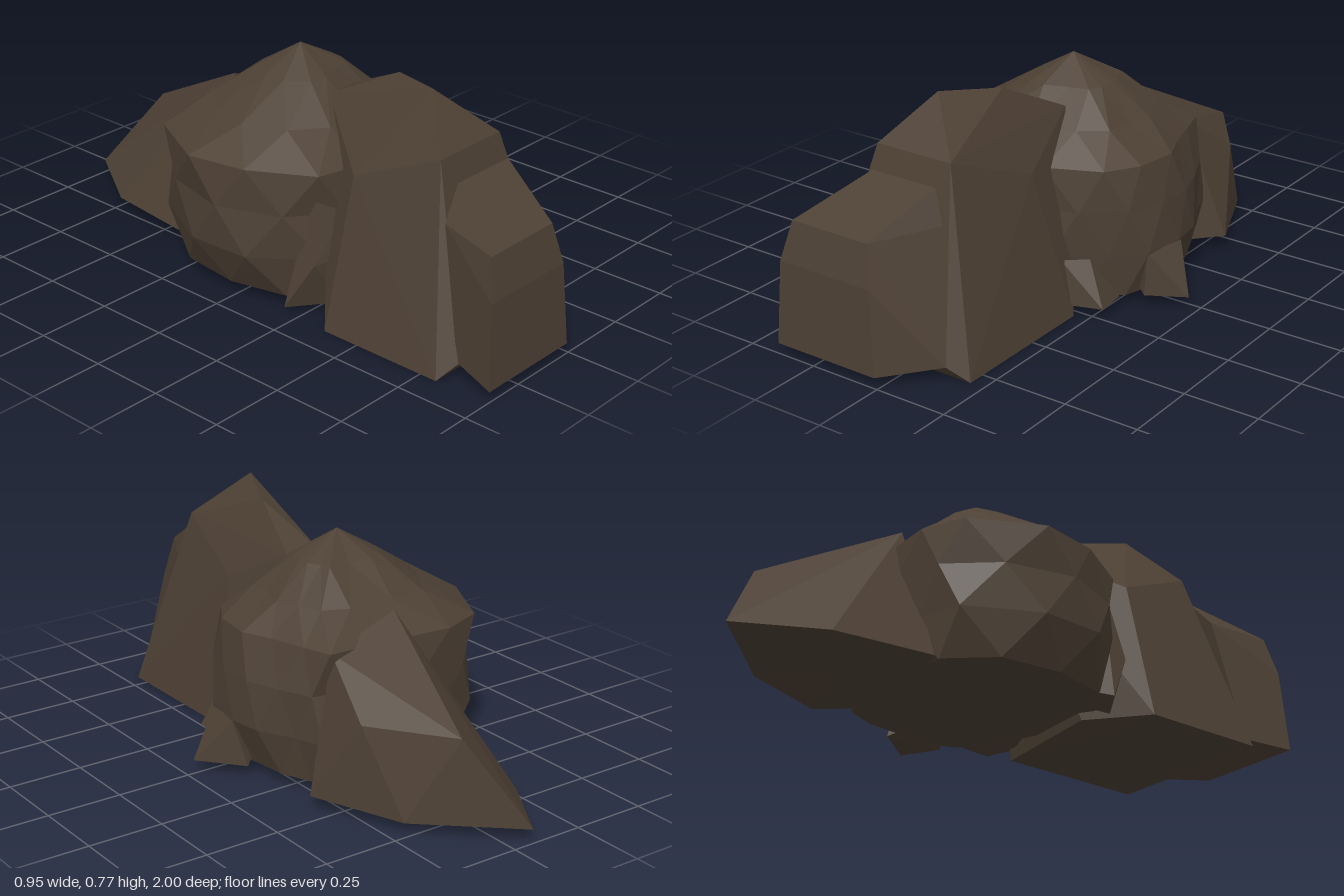
import * as THREE from 'three';
import { ConvexGeometry } from 'three/addons/geometries/ConvexGeometry.js';

const stone = new THREE.MeshStandardMaterial({ color: 0x4d4034, flatShading: true });

function addRock(group, name, geometry) {
  const mesh = new THREE.Mesh(geometry, stone);
  mesh.name = name;
  group.add(mesh);
}

const hull = (points) => new ConvexGeometry(points.map((p) => new THREE.Vector3(...p)));

// Faceted boulder: staggered rings of one ground outline, closed above and below
function boulder() {
  const outline = [
    [-0.47, -0.13], [-0.46, 0.09], [-0.31, 0.29], [-0.14, 0.33], [0.1, 0.27], [0.28, 0.19], [0.35, 0.08],
    [0.37, -0.07], [0.355, -0.18], [0.29, -0.3], [0.26, -0.4], [0.04, -0.41], [-0.2, -0.43], [-0.35, -0.37],
  ];
  const n = outline.length;
  const cx = -0.04, cz = -0.06;
  // height, scale, x shift
  const rings = [[0.035, 0.93, 0], [0.18, 1, 0], [0.33, 1.01, -0.01], [0.47, 0.97, -0.025], [0.56, 0.68, -0.01], [0.66, 0.34, 0.01]];
  const positions = [], index = [];
  rings.forEach(([y, scale, shift], r) => {
    for (let i = 0; i < n; i++) {
      const a = outline[i], b = outline[(i + 1) % n];
      const t = r % 2 ? 0 : 0.5;
      // shallow chips on some corners
      const s = scale * ((i * 5 + r * 3) % 7 === 0 ? 0.93 : 1);
      positions.push(
        cx + shift + (a[0] + (b[0] - a[0]) * t - cx) * s,
        y,
        cz + (a[1] + (b[1] - a[1]) * t - cz) * s
      );
    }
  });
  for (let r = 0; r < rings.length - 1; r++) {
    for (let i = 0; i < n; i++) {
      const j = (i + 1) % n;
      const a = r * n + i, b = r * n + j, c = a + n, d = b + n;
      if (r % 2) index.push(a, b, c + 0, b, d, c);
      else index.push(a, b, d, a, d, c);
    }
  }
  const top = positions.length / 3;
  positions.push(cx, 0.74, cz, cx, 0.035, cz);
  const last = (rings.length - 1) * n;
  for (let i = 0; i < n; i++) {
    const j = (i + 1) % n;
    index.push(last + i, last + j, top, j, i, top + 1);
  }
  const geometry = new THREE.BufferGeometry();
  geometry.setAttribute('position', new THREE.Float32BufferAttribute(positions, 3));
  geometry.setIndex(index);
  const flat = geometry.toNonIndexed();
  flat.computeVertexNormals();
  return flat;
}

export function createModel() {
  const group = new THREE.Group();
  group.name = 'rockCluster';

  addRock(group, 'middleBoulder', boulder());

  // Tall slab in front of the boulder
  addRock(group, 'tallRock', hull([
    [-0.4, 0, 0.81], [0.2, 0, 0.81], [0.14, 0.05, 0.85], [-0.34, 0.05, 0.85],
    [-0.24, 0.62, 0.68], [0.04, 0.62, 0.68], [-0.115, 0.77, 0.54], [-0.025, 0.74, 0.34],
    [0.04, 0.62, 0.1], [-0.08, 0.62, 0.1], [0.1, 0.49, 0.36], [-0.28, 0.49, 0.38],
    [0.2, 0, 0.28], [-0.4, 0, 0.37], [-0.2, 0.01, 0.24],
  ]));

  // Lower block at the very front
  addRock(group, 'frontRock', hull([
    [-0.39, 0.035, 1], [-0.01, 0.035, 1], [-0.375, 0.31, 0.985], [-0.03, 0.31, 0.985],
    [-0.345, 0.44, 0.955], [-0.055, 0.44, 0.955], [-0.22, 0.555, 0.73], [0.02, 0.555, 0.73],
    [-0.34, 0.05, 0.84], [0.14, 0.05, 0.85], [-0.3, 0.46, 0.75], [0.06, 0.45, 0.75],
  ]));

  // Wedge sloping down to the back
  addRock(group, 'backRock', hull([
    [-0.07, 0.045, -1], [0.07, 0.31, -0.83], [-0.04, 0.55, -0.36], [-0.23, 0.035, -0.74],
    [0.2, 0.035, -0.73], [0.25, 0.31, -0.58], [0.33, 0.045, -0.43], [-0.27, 0.035, -0.4],
    [0.03, 0.02, -0.58], [0.2, 0.46, -0.36], [0.2, 0.04, -0.3], [-0.2, 0.04, -0.3],
  ]));

  // Shards around the foot of the boulder
  const shards = {
    sideShard: [[0.465, 0.035, 0.02], [0.375, 0.18, -0.07], [0.345, 0.18, 0.08], [0.34, 0.035, 0.09], [0.35, 0.035, -0.12], [0.2, 0.1, 0]],
    frontLeftShard: [[0.29, 0.035, 0.25], [0.22, 0.18, 0.22], [0.15, 0.18, 0.28], [0.11, 0.035, 0.31], [0.28, 0.035, 0.14], [0.1, 0.1, 0.1]],
    frontRightShard: [[-0.4, 0.02, 0.2], [-0.36, 0.18, 0.29], [-0.2, 0.2, 0.35], [-0.3, 0.47, 0.25], [-0.14, 0.46, 0.33], [-0.24, 0.02, 0.32], [-0.2, 0.1, 0.1]],
  };
  for (const [name, points] of Object.entries(shards)) addRock(group, name, hull(points));

  return group;
}
